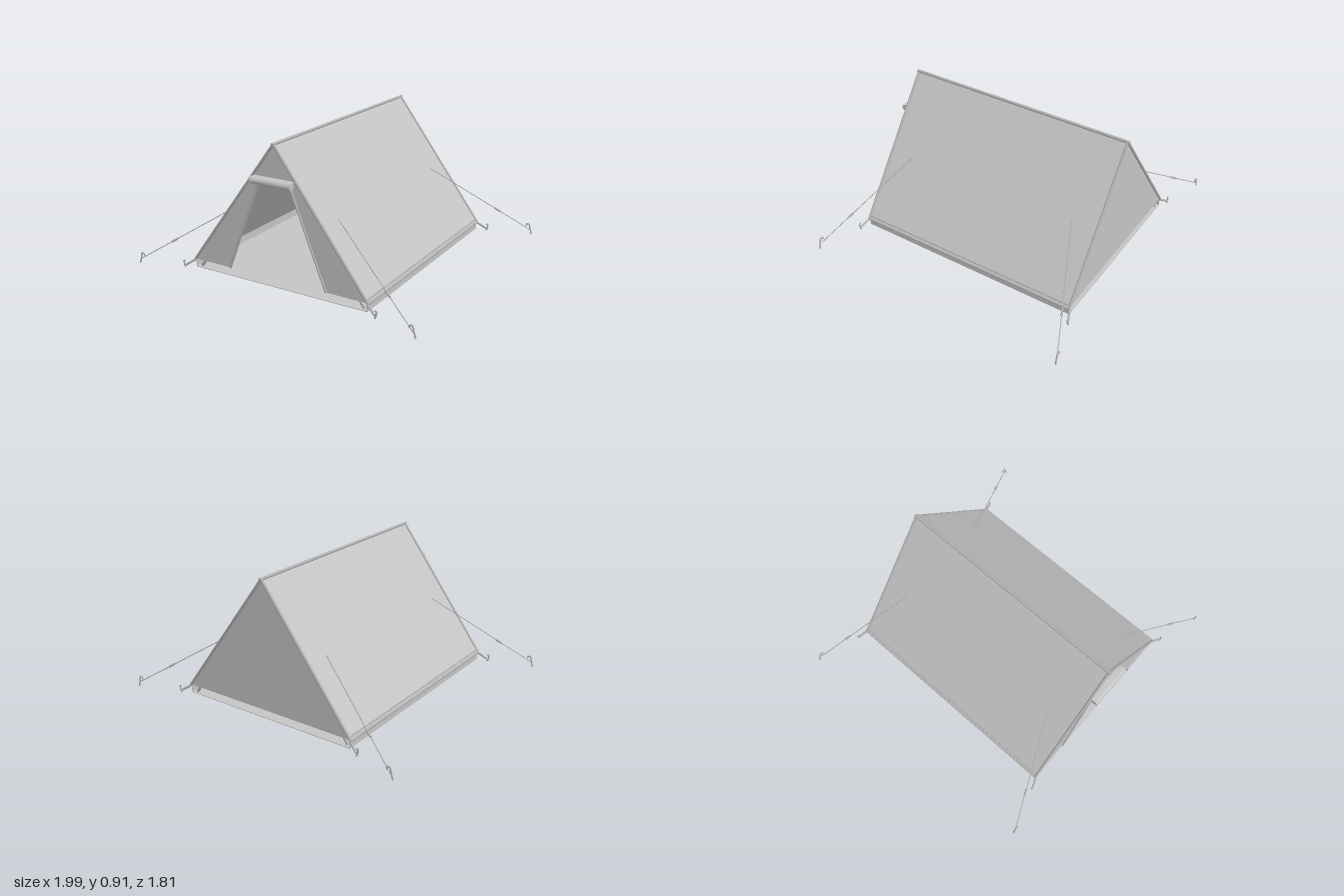
import * as THREE from 'three';

const RIDGE = 0.905, EAVE_X = 0.632, EAVE_Y = 0.066, END = 0.778;

export function createModel() {
  const tent = new THREE.Group();
  tent.name = 'tent';
  const canvas = new THREE.MeshStandardMaterial({ name: 'canvasGrey', color: 0xc4c4c4, side: THREE.DoubleSide });
  const trim = new THREE.MeshStandardMaterial({ name: 'trimGrey', color: 0xb2b2b2 });

  const add = (name, geometry, material, parent = tent) => {
    const mesh = new THREE.Mesh(geometry, material);
    mesh.name = name;
    parent.add(mesh);
    return mesh;
  };

  // round bar between two points
  const bar = (name, a, b, r, parent = tent, sides = 8) => {
    const p = new THREE.Vector3(...a), q = new THREE.Vector3(...b);
    const mesh = add(name, new THREE.CylinderGeometry(r, r, p.distanceTo(q), sides), trim, parent);
    mesh.position.copy(p).add(q).multiplyScalar(0.5);
    mesh.quaternion.setFromUnitVectors(new THREE.Vector3(0, 1, 0), q.sub(p).normalize());
    return mesh;
  };

  // smooth bent wire or strap
  const wire = (name, points, r, parent) => add(name, new THREE.TubeGeometry(
    new THREE.CatmullRomCurve3(points.map(p => new THREE.Vector3(...p))), 20, r, 6), trim, parent);

  const shapeOf = pts => new THREE.Shape(pts.map(p => new THREE.Vector2(...p)));

  // groundsheet with low side walls, open at both ends
  const floor = add('groundsheet', new THREE.BoxGeometry(1.25, 0.004, 2 * END), canvas);
  floor.position.y = 0.016;
  for (const s of [-1, 1]) {
    const wall = add('groundsheetWall', new THREE.BoxGeometry(0.004, 0.05, 2 * END), canvas);
    wall.position.set(s * 0.624, 0.04, 0);
  }

  // roof slopes, hems and ridge
  for (const s of [-1, 1]) {
    const slope = add('roofSlope', new THREE.ExtrudeGeometry(shapeOf([
      [0, RIDGE], [s * EAVE_X, EAVE_Y], [s * (EAVE_X - 0.008), EAVE_Y], [0, RIDGE - 0.011],
    ]), { depth: 2 * END, bevelEnabled: false }), canvas);
    slope.position.z = -END;
    bar('eaveHem', [s * EAVE_X, EAVE_Y, -END], [s * EAVE_X, EAVE_Y, END], 0.008);
    bar('eaveSeam', [s * (EAVE_X - 0.012), 0.083, -END], [s * (EAVE_X - 0.012), 0.083, END], 0.005);
  }
  bar('ridgeCap', [0, RIDGE, -0.79], [0, RIDGE, 0.79], 0.01);

  // back wall and front wall with its doorway
  const back = add('backWall', new THREE.ShapeGeometry(shapeOf([
    [-EAVE_X, EAVE_Y], [EAVE_X, EAVE_Y], [0, RIDGE]])), canvas);
  back.position.z = -0.774;
  const front = add('frontWall', new THREE.ShapeGeometry(shapeOf([
    [-EAVE_X, EAVE_Y], [-0.35, EAVE_Y], [-0.11, 0.665], [0.11, 0.665],
    [0.35, EAVE_Y], [EAVE_X, EAVE_Y], [0, RIDGE]])), canvas);
  front.position.z = 0.774;
  for (const s of [-1, 1])
    bar('doorEdge', [s * 0.35, EAVE_Y, 0.778], [s * 0.11, 0.665, 0.778], 0.007);

  // rolled-up door under its flap
  const roll = bar('rolledDoor', [-0.143, 0.68, 0.808], [0.143, 0.68, 0.808], 0.022, tent, 20);
  roll.material = canvas;
  const flap = add('doorFlap', new THREE.BoxGeometry(0.286, 0.006, 0.032), canvas);
  flap.position.set(0, 0.699, 0.791);

  for (const sx of [-1, 1]) for (const sz of [-1, 1]) {
    const corner = new THREE.Group();
    corner.name = 'cornerRigging';
    tent.add(corner);
    const at = (x, y, z) => [sx * x, y, sz * z];

    // inner pole and outer edge piping
    bar('pole', at(0.595, 0.02, 0.755), at(0, 0.885, 0.755), 0.009, corner);
    bar('edgePiping', at(EAVE_X, EAVE_Y, END), at(0, RIDGE, END), 0.009, corner);

    // corner strap and peg
    bar('cornerStrap', at(0.63, 0.062, 0.782), at(0.69, 0.022, 0.806), 0.007, corner);
    wire('cornerPeg', [at(0.69, 0.004, 0.808), at(0.7, 0.025, 0.808), at(0.7, 0.05, 0.808),
      at(0.69, 0.052, 0.808)], 0.005, corner);

    // guy line with its tensioner and hooked peg
    const top = new THREE.Vector3(...at(0.334, 0.46, 0.608));
    const end = new THREE.Vector3(...at(0.975, 0.04, 0.9));
    bar('guyLine', top.toArray(), end.toArray(), 0.003, corner, 6);
    bar('tensioner', top.clone().lerp(end, 0.65).toArray(), top.clone().lerp(end, 0.71).toArray(), 0.007, corner);
    wire('guyPeg', [at(0.993, 0.005, 0.901), at(0.981, 0.045, 0.901), at(0.972, 0.076, 0.901),
      at(0.957, 0.076, 0.901), at(0.953, 0.06, 0.901)], 0.005, corner);
  }
  return tent;
}
